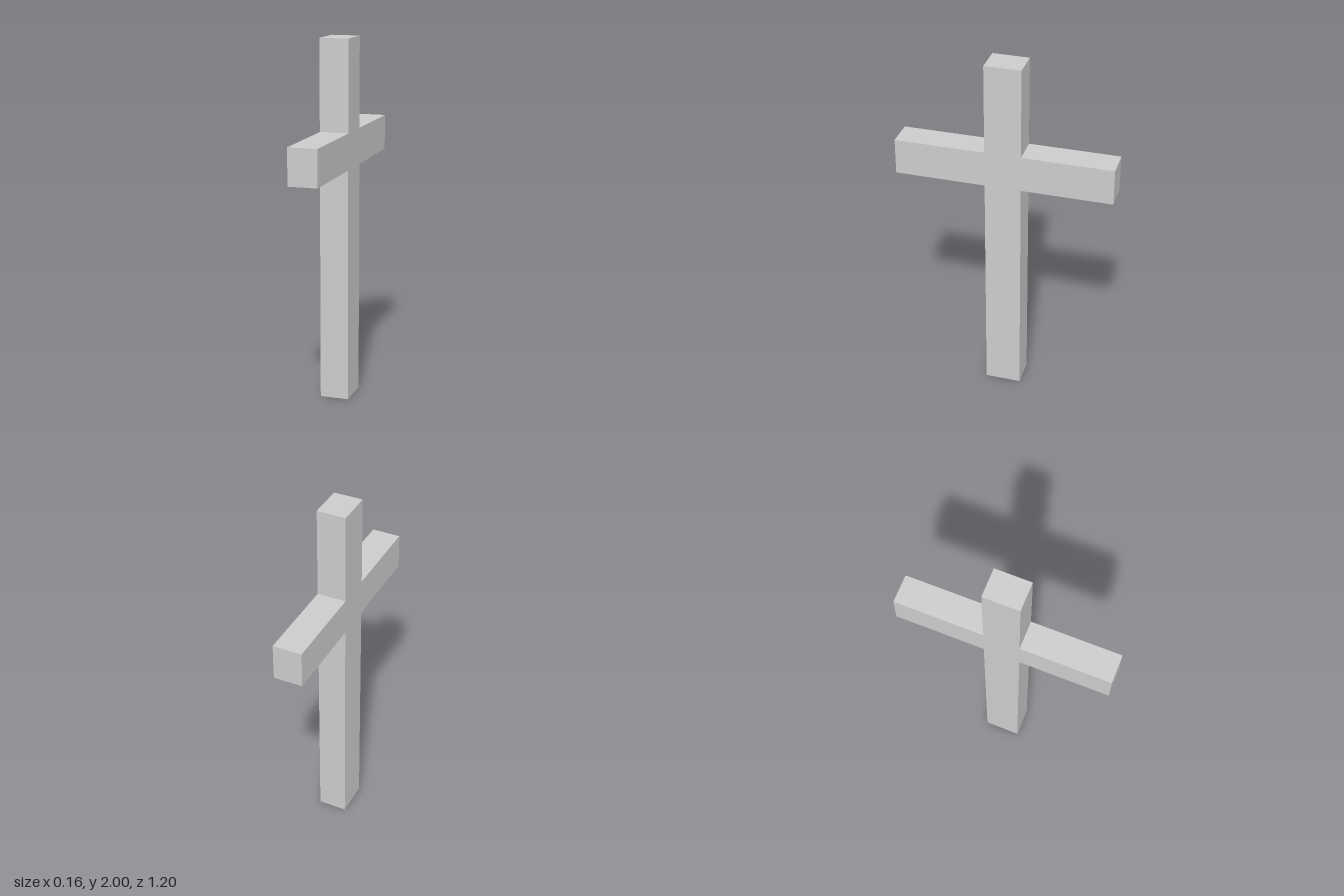
import * as THREE from 'three';

const HEIGHT = 2;        // post height
const HALF = 0.1;        // half width of the post
const REACH = 0.6;       // arm reach from the centre
const ARM_LOW = 1.3;     // underside of the arms
const ARM_HIGH = 1.5;    // top of the arms
const DEPTH = 0.16;      // thickness along x

export function createModel() {
  const group = new THREE.Group();
  group.name = 'uprightCross';

  // Right half of the outline, mirrored for the left half
  const half = [
    [HALF, 0], [HALF, ARM_LOW], [REACH, ARM_LOW],
    [REACH, ARM_HIGH], [HALF, ARM_HIGH], [HALF, HEIGHT],
  ];
  const mirrored = half.map(([u, y]) => [-u, y]).reverse();
  const outline = new THREE.Shape(
    [...half, ...mirrored].map(([u, y]) => new THREE.Vector2(u, y)));

  // One solid body, turned so the arms run along z
  const geometry = new THREE.ExtrudeGeometry(outline, { depth: DEPTH, bevelEnabled: false });
  geometry.translate(0, 0, -DEPTH / 2);
  geometry.rotateY(Math.PI / 2);

  const cross = new THREE.Mesh(geometry, new THREE.MeshStandardMaterial({ color: 0xcccccc }));
  cross.name = 'postAndArms';
  group.add(cross);
  return group;
}
